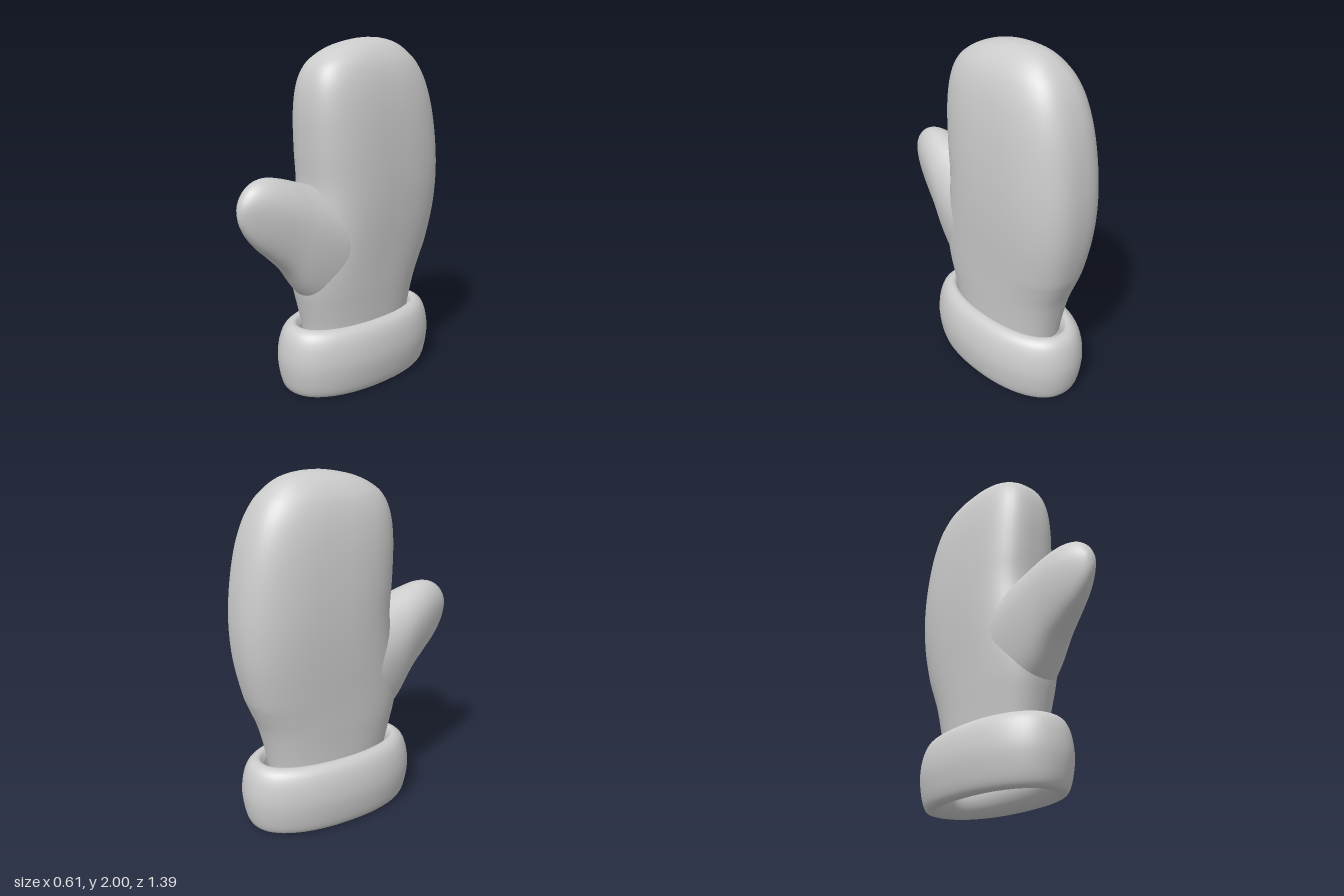
import * as THREE from 'three';

const SIDES = 64;

// Catmull-Rom blend of rows of numbers, giving a smooth run of sections
function smoothRows(rows, steps) {
  const at = (i) => rows[Math.min(Math.max(i, 0), rows.length - 1)];
  const out = [];
  for (let i = 0; i < rows.length - 1; i++) {
    for (let s = 0; s < steps; s++) {
      const t = s / steps;
      out.push(rows[i].map((b, k) => {
        const a = at(i - 1)[k], c = at(i + 1)[k], d = at(i + 2)[k];
        return b + 0.5 * t * (c - a + t * (2 * a - 5 * b + 4 * c - d + t * (3 * (b - c) + d - a)));
      }));
    }
  }
  out.push(rows[rows.length - 1]);
  return out;
}

// Unit superellipse point
function superPoint(angle, n) {
  const c = Math.cos(angle), s = Math.sin(angle);
  const r = Math.pow(Math.pow(Math.abs(c), n) + Math.pow(Math.abs(s), n), -1 / n);
  return [c * r, s * r];
}

// Skin a run of sections; pointAt(section, angle) returns [x, y, z]
function loft(sections, pointAt, { startCap, endCap } = {}) {
  const pos = [], index = [];
  for (const sec of sections) {
    for (let i = 0; i < SIDES; i++) pos.push(...pointAt(sec, (i / SIDES) * Math.PI * 2));
  }
  const last = (sections.length - 1) * SIDES;
  for (let r = 0; r < last; r += SIDES) {
    for (let i = 0; i < SIDES; i++) {
      const j = (i + 1) % SIDES;
      const a = r + i, b = r + j, c = a + SIDES, d = b + SIDES;
      index.push(a, c, b, b, c, d);
    }
  }
  const cap = (centre, ring, flip) => {
    const m = pos.length / 3;
    pos.push(...centre);
    for (let i = 0; i < SIDES; i++) {
      const a = ring + i, b = ring + ((i + 1) % SIDES);
      index.push(m, flip ? b : a, flip ? a : b);
    }
  };
  if (startCap) cap(startCap, 0, false);
  if (endCap) cap(endCap, last, true);
  const g = new THREE.BufferGeometry();
  g.setAttribute('position', new THREE.Float32BufferAttribute(pos, 3));
  g.setIndex(index);
  g.computeVertexNormals();
  return g;
}

export function createModel() {
  const group = new THREE.Group();
  const material = new THREE.MeshStandardMaterial({ color: 0xcccccc, roughness: 0.8, side: THREE.DoubleSide });
  const add = (name, geometry) => {
    const mesh = new THREE.Mesh(geometry, material);
    mesh.name = name;
    group.add(mesh);
  };

  // Hand: y, front z, back z, half width, squareness
  const hand = smoothRows([
    [0.34, 0.235, -0.51, 0.2, 2.3],
    [0.4, 0.245, -0.52, 0.205, 2.3],
    [0.5, 0.268, -0.54, 0.212, 2.4],
    [0.6, 0.29, -0.566, 0.22, 2.5],
    [0.7, 0.3, -0.605, 0.227, 2.6],
    [0.8, 0.288, -0.64, 0.235, 2.7],
    [1.0, 0.25, -0.68, 0.251, 2.8],
    [1.2, 0.23, -0.693, 0.26, 2.8],
    [1.4, 0.243, -0.68, 0.258, 2.8],
    [1.6, 0.25, -0.645, 0.245, 2.8],
    [1.75, 0.235, -0.595, 0.222, 2.8],
    [1.85, 0.195, -0.54, 0.192, 2.7],
    [1.91, 0.13, -0.485, 0.158, 2.6],
    [1.955, 0.04, -0.425, 0.117, 2.5],
    [1.982, -0.06, -0.36, 0.075, 2.4],
    [1.996, -0.145, -0.29, 0.036, 2.2],
  ], 5);
  add('hand', loft(hand, ([y, front, back, half, n], angle) => {
    const [u, v] = superPoint(angle, n);
    return [u * half, y, (front + back) / 2 + (v * (front - back)) / 2];
  }, { startCap: [0, 0.34, -0.137], endCap: [0, 2, -0.218] }));

  // Thumb: z, top y, bottom y, half width; fuller towards the top
  const thumb = smoothRows([
    [0.0, 1.16, 0.45, 0.212],
    [0.1, 1.19, 0.46, 0.21],
    [0.2, 1.215, 0.51, 0.198],
    [0.3, 1.245, 0.605, 0.18],
    [0.4, 1.277, 0.745, 0.155],
    [0.5, 1.298, 0.845, 0.125],
    [0.58, 1.289, 0.918, 0.094],
    [0.64, 1.253, 0.99, 0.064],
    [0.677, 1.203, 1.056, 0.036],
    [0.691, 1.16, 1.1, 0.015],
  ], 5);
  add('thumb', loft(thumb, ([z, top, bottom, half], angle) => {
    const [u, v] = superPoint(-angle, 2.15);
    return [u * half * (1 + 0.18 * v * (1 - v * v)), (top + bottom) / 2 + (v * (top - bottom)) / 2, z];
  }, { endCap: [0, 1.13, 0.694] }));

  // Cuff: y and inset from the widest outline, from the opening round to the wrist
  const cuff = smoothRows([
    [0.35, 0.13],
    [0.2, 0.16],
    [0.11, 0.17],
    [0.05, 0.15],
    [0.012, 0.11],
    [0.0, 0.07],
    [0.014, 0.037],
    [0.08, 0.014],
    [0.19, 0.0],
    [0.29, 0.01],
    [0.36, 0.035],
    [0.393, 0.07],
    [0.395, 0.105],
    [0.36, 0.13],
  ], 5);
  add('cuff', loft(cuff, ([y, inset], angle) => {
    const [u, v] = superPoint(angle, 2.2);
    return [u * (0.303 - inset), Math.max(y, 0), -0.137 + v * (0.538 - inset)];
  }));

  return group;
}
